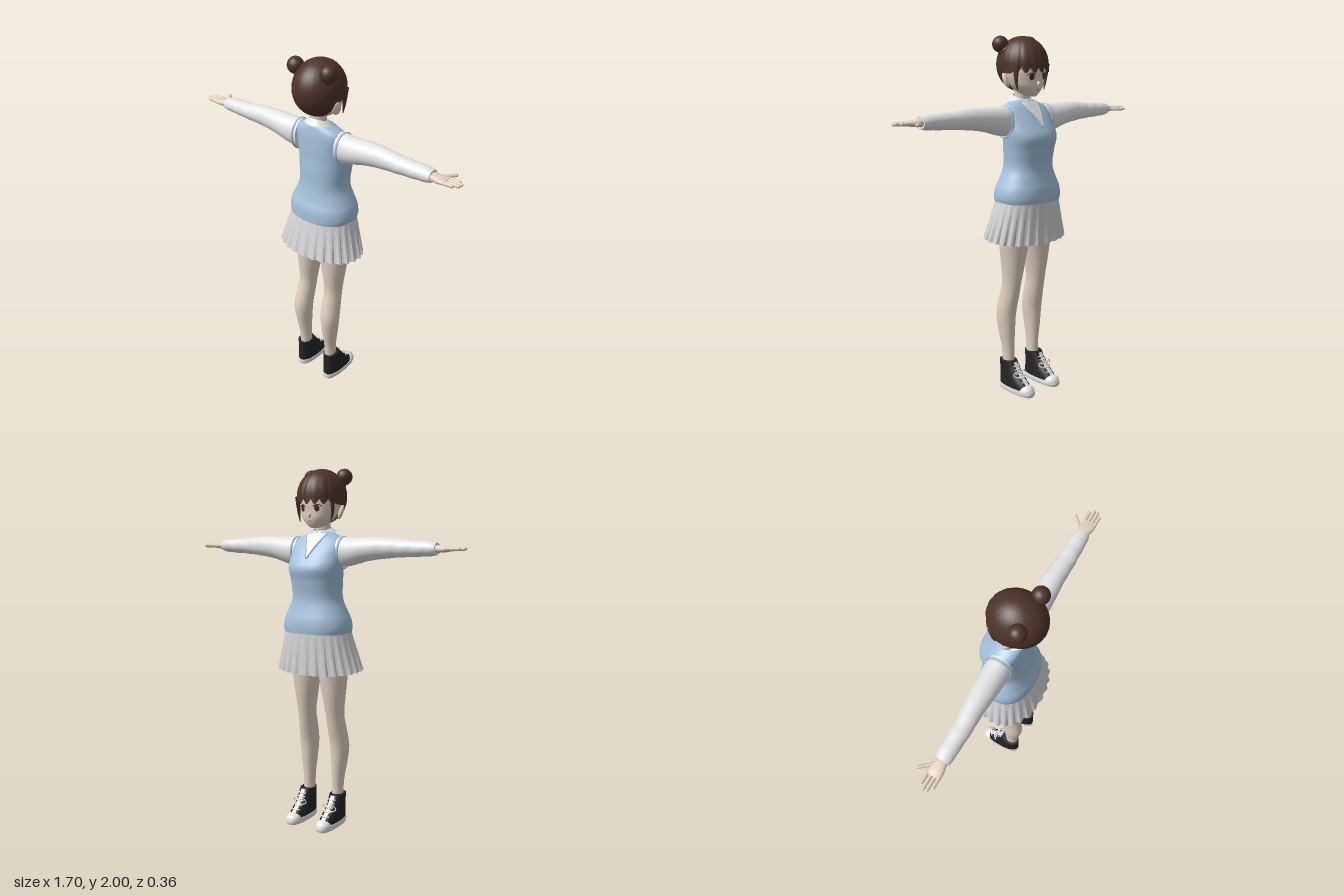
import * as THREE from 'three';

const mat = (name, color, side = THREE.FrontSide) => {
  const m = new THREE.MeshStandardMaterial({ color, side });
  m.name = name;
  return m;
};

// Grid surface from fn(u, v) -> [x, y, z]; u may wrap around
function surf(nu, nv, closed, fn) {
  const pos = [], idx = [], cols = closed ? nu : nu + 1;
  for (let j = 0; j <= nv; j++)
    for (let i = 0; i < cols; i++) pos.push(...fn(i / nu, j / nv, j));
  for (let j = 0; j < nv; j++)
    for (let i = 0; i < nu; i++) {
      const a = j * cols + i, b = j * cols + ((i + 1) % cols), d = a + cols, c = b + cols;
      idx.push(a, d, b, b, d, c);
    }
  const g = new THREE.BufferGeometry();
  g.setAttribute('position', new THREE.Float32BufferAttribute(pos, 3));
  g.setIndex(idx);
  g.computeVertexNormals();
  return g;
}

// Smoothly interpolated section rows: [y, half width, back z, front z, centre x]
function sections(rows) {
  const it = new THREE.CubicInterpolant(rows.map(r => r[0]),
    rows.flatMap(r => [r[1], r[2], r[3], r[4] || 0]), 4, new Float32Array(4));
  return y => Array.from(it.evaluate(y));
}

const spow = (v, e) => Math.sign(v) * Math.abs(v) ** e;

// Closed body through superellipse sections, with capped ends
function loft(rows, { p = 2, nu = 32, nv = 32, ripple = null } = {}) {
  const at = sections(rows), y0 = rows[0][0], y1 = rows[rows.length - 1][0];
  return surf(nu, nv + 4, true, (u, v, j) => {
    const t = Math.min(1, Math.max(0, (j - 2) / nv)), y = y0 + (y1 - y0) * t;
    const [rx, zb, zf, xc] = at(y), a = u * Math.PI * 2;
    const k = (j === 0 || j === nv + 4) ? 0 : 1 + (ripple ? ripple(y, a) : 0);
    return [xc + k * rx * spow(Math.cos(a), 2 / p), y,
      (zb + zf) / 2 + k * (zb - zf) / 2 * spow(Math.sin(a), 2 / p)];
  });
}

// Front depth of a loft at x, y
function frontZ(rows, p = 2) {
  const at = sections(rows);
  return (x, y) => {
    const [rx, zb, zf, xc] = at(y), q = Math.min(1, Math.abs((x - xc) / rx));
    return (zb + zf) / 2 - (zb - zf) / 2 * (1 - q ** p) ** (1 / p);
  };
}

// Thin detail laid on the front of a loft
const patch = (zAt, y0, y1, span, off) => surf(14, 14, false, (u, v) => {
  const y = y0 + (y1 - y0) * v, [xa, xb] = span(y), x = xa + (xb - xa) * u;
  return [x, y, zAt(x, y) - off];
});
const oval = (zAt, cx, cy, w, h, off) => patch(zAt, cy - h, cy + h, y => {
  const k = w * Math.sqrt(Math.max(0, 1 - ((y - cy) / h) ** 2));
  return [cx - k, cx + k];
}, off);

const tube = (pts, r, n = 24) => new THREE.TubeGeometry(
  new THREE.CatmullRomCurve3(pts.map(p => new THREE.Vector3(...p))), n, r, 8);

const TORSO = [[1.115, .192, .13, -.168], [1.14, .198, .13, -.17], [1.19, .19, .125, -.166],
  [1.23, .172, .11, -.155], [1.3, .142, .095, -.142], [1.4, .145, .09, -.153], [1.47, .154, .086, -.165],
  [1.54, .156, .085, -.125], [1.6, .154, .082, -.08], [1.63, .135, .077, -.055],
  [1.655, .08, .07, -.035], [1.668, .05, .06, -.02]];
const HEAD = [[1.683, .018, -.02, -.078], [1.7, .045, .03, -.09], [1.73, .079, .065, -.1],
  [1.77, .1, .095, -.102], [1.82, .11, .12, -.106], [1.9, .103, .125, -.1], [1.95, .06, .08, -.06]];
const LEG = [[.15, .032, .075, 0, .097], [.25, .033, .08, -.002, .098], [.35, .043, .098, -.008, .102],
  [.46, .052, .11, -.015, .103], [.56, .05, .09, -.035, .098], [.64, .049, .07, -.05, .095],
  [.75, .062, .075, -.07, .092], [.9, .084, .085, -.09, .088], [1.02, .086, .1, -.11, .09]];
const SHOE = [[.025, .047, .088, -.155], [.06, .046, .087, -.125], [.1, .043, .085, -.078],
  [.14, .041, .085, -.045], [.175, .041, .085, -.022]];
const SOLE = [[0, .046, .088, -.166], [.015, .05, .092, -.171], [.032, .049, .091, -.168]];
// Sleeve and palm run along y here and are laid sideways; centre x becomes height
const SLEEVE = [[.13, .082, .068, -.062, .024], [.2, .075, .07, -.064, .022], [.3, .063, .068, -.058, .007],
  [.4, .055, .062, -.046, 0], [.5, .046, .062, -.037, 0], [.6, .041, .058, -.034, 0],
  [.67, .036, .055, -.031, 0], [.692, .031, .051, -.026, 0]];
const PALM = [[.66, .02, .042, -.016], [.7, .019, .044, -.018], [.74, .016, .052, -.024], [.772, .011, .052, -.024]];

export function createModel() {
  const root = new THREE.Group();
  root.name = 'schoolgirl';
  const D = THREE.DoubleSide;
  const skin = mat('skin', 0xe3d1c2), hairMat = mat('hair brown', 0x4d3329, D), blue = mat('vest blue', 0xa5c1dc),
    shirt = mat('shirt white', 0xe4e4e7, D), skirtMat = mat('skirt grey', 0xd3d2d5, D), black = mat('shoe black', 0x242426),
    white = mat('rubber white', 0xe9e7e6), iris = mat('eye brown', 0x4a2a20), lip = mat('lip pink', 0xc98f86);
  const add = (name, geo, m, parent = root) => {
    const mesh = new THREE.Mesh(geo, m);
    mesh.name = name;
    parent.add(mesh);
    return mesh;
  };

  // Torso clothing
  add('vest', loft(TORSO, { p: 2.3, nu: 48, nv: 48 }), blue);
  const chest = frontZ(TORSO, 2.3), vee = y => (y - 1.525) * .5;
  add('shirtFront', patch(chest, 1.525, 1.655, y => [-vee(y), vee(y)], .004), shirt);
  const neckline = [-1, -.66, -.33, 0, .33, .66, 1].map(k => {
    const y = 1.522 + .13 * Math.abs(k), x = Math.sign(k) * vee(y);
    return [x, y, chest(x, y) - .002];
  });
  add('necklineTrim', tube(neckline, .005, 40), blue);
  add('shorts', loft([[.96, .165, .1, -.11], [1.03, .175, .11, -.14], [1.125, .175, .11, -.15]]), shirt);

  // Pleated skirt with flat folds
  const pleats = 26, fold = [0, .05, .055, .01];
  const skirt = surf(pleats * 4, 4, true, (u, v) => {
    const a = u * Math.PI * 2, d = 1 - v, k = Math.round(u * pleats * 4) % 4;
    const s = Math.sin(a), r = 1 - .02 * d + d * fold[k] * 1.1;
    const back = .125 + .05 * d, front = -.163 - .008 * d;
    return [(.19 + .058 * d) * r * spow(Math.cos(a), .92), 1.13 - d * (.226 - .014 * s),
      (back + front) / 2 + (back - front) / 2 * spow(s, .92) * r];
  }).toNonIndexed();
  skirt.computeVertexNormals();
  add('pleatedSkirt', skirt, skirtMat);

  // Neck and collar
  add('neck', loft([[1.6, .045, .07, -.02], [1.66, .041, .068, -.015], [1.73, .042, .07, -.02]], { nv: 8 }), skin);
  add('collar', surf(40, 6, false, (u, v) => {
    const a = .12 + u * (Math.PI * 2 - .24), f = (1 + Math.cos(a)) / 2;
    const r = THREE.MathUtils.lerp(.076 + .026 * f * f, .049, v);
    const y = THREE.MathUtils.lerp(1.668 - .062 * f * f, 1.695 - .03 * f, v);
    return [r * Math.sin(a), y, .022 - r * Math.cos(a)];
  }), shirt);

  // Head and face
  const head = new THREE.Group();
  head.name = 'head';
  root.add(head);
  add('face', loft(HEAD, { p: 2.2, nu: 40 }), skin, head);
  const face = frontZ(HEAD, 2.2);
  const nose = add('nose', new THREE.SphereGeometry(1, 12, 8), skin, head);
  nose.scale.set(.009, .014, .015);
  nose.position.set(0, 1.75, -.101);
  add('mouth', oval(face, 0, 1.718, .014, .0035, .003), lip, head);
  for (const s of [-1, 1]) {
    add('eyeWhite', oval(face, s * .045, 1.787, .021, .017, .002), white, head);
    add('iris', oval(face, s * .044, 1.787, .014, .018, .004), iris, head);
    add('eyelash', tube([-1, -.5, 0, .5, 1].map(k => {
      const x = s * .045 + k * .023, y = 1.806 - .01 * k * k;
      return [x, y, face(x, y) - .003];
    }), .0025, 12), hairMat, head);
    const ear = add('ear', new THREE.SphereGeometry(1, 16, 12), skin, head);
    ear.scale.set(.013, .04, .025);
    ear.position.set(s * .117, 1.768, .028);
    ear.rotation.set(.15, s * -.5, s * -.25);
  }

  // Hair cap with a jagged fringe
  const { lerp, smoothstep } = THREE.MathUtils;
  add('hairCap', surf(144, 24, true, (u, v) => {
    const a = u * Math.PI * 2, s = Math.sin(a), clump = Math.abs(Math.sin(a * 9));
    const fringe = smoothstep(-s, .3, .5);
    const yb = lerp(1.805, 1.712, smoothstep(s, .1, .45)) + fringe * (.03 - .028 * clump);
    const th = (1 - v) * Math.acos((yb - 1.85) / .148);
    const taper = th > Math.PI / 2 ? lerp(1, Math.sin(th), smoothstep(s, -.1, .4)) : Math.sin(th);
    const r = taper * (1 + (1 - v) * .025 * fringe * (clump - .6) + .005 * Math.cos(a * 24) * (1 - v));
    return [.132 * r * Math.cos(a), 1.85 + .148 * Math.cos(th), .02 + .15 * r * s];
  }), hairMat, head);
  for (const s of [-1, 1]) {
    add('sideLock', loft([[1.715, .002, -.046, -.05, s * .098], [1.76, .006, -.034, -.056, s * .108],
      [1.85, .009, -.03, -.075, s * .112]], { nu: 10, nv: 10 }), hairMat, head);
    const bun = add('hairBun', new THREE.SphereGeometry(.044, 24, 16), hairMat, head);
    bun.position.set(s * .106, 1.955, .078);
    const band = add('bunBase', new THREE.TorusGeometry(.03, .011, 8, 24), hairMat, head);
    band.position.set(s * .087, 1.93, .066);
    band.lookAt(s * .106, 1.955, .078);
  }

  // Limbs, built for the +x side and mirrored
  for (const s of [1, -1]) {
    const arm = new THREE.Group();
    arm.name = s > 0 ? 'leftArm' : 'rightArm';
    arm.position.y = 1.579;
    arm.scale.x = s;
    root.add(arm);
    const wrinkle = (y, a) => y > .66 ? 0 : .018 * Math.sin(y * 75 + 2 * Math.cos(a)) * smoothstep(y, .25, .55);
    add('sleeve', loft(SLEEVE, { nv: 56, ripple: wrinkle }).rotateZ(-Math.PI / 2), shirt, arm);
    add('palm', loft(PALM, { p: 2.4, nu: 20, nv: 10 }).rotateZ(-Math.PI / 2), skin, arm);
    [[-.016, .828], [.004, .849], [.024, .846], [.043, .823]].forEach(([z, end]) => {
      const len = end - .755;
      const finger = add('finger', new THREE.CapsuleGeometry(.0088, len - .0176, 4, 10), skin, arm);
      finger.rotation.z = -Math.PI / 2;
      finger.position.set(.755 + len / 2, .002, z);
    });
    add('thumb', tube([[.7, -.002, 0], [.73, -.003, -.028], [.75, -.002, -.05], [.768, 0, -.07]], .0095, 12), skin, arm);
    const tip = add('thumbTip', new THREE.SphereGeometry(.0095, 10, 8), skin, arm);
    tip.position.set(.768, 0, -.07);
    const trim = add('armholeTrim', new THREE.TorusGeometry(1, .07, 8, 40), blue, arm);
    trim.scale.set(.07, .083, .09);
    trim.rotation.y = Math.PI / 2;
    trim.position.set(.15, -.028, .002);

    const leg = new THREE.Group();
    leg.name = s > 0 ? 'leftLeg' : 'rightLeg';
    leg.scale.x = s;
    root.add(leg);
    add('legSkin', loft(LEG, { nv: 40 }), skin, leg);

    // High-top shoe
    const shoe = new THREE.Group();
    shoe.name = 'shoe';
    shoe.position.x = .102;
    leg.add(shoe);
    add('sole', loft(SOLE, { p: 2.6, nv: 8 }), white, shoe);
    add('shoeUpper', loft(SHOE, { p: 2.4, nv: 20 }), black, shoe);
    const cap = add('toeCap', new THREE.SphereGeometry(1, 24, 12, 0, Math.PI * 2, 0, Math.PI / 2), white, shoe);
    cap.scale.set(.044, .036, .046);
    cap.position.set(0, .025, -.121);
    const instep = frontZ(SHOE, 2.4);
    add('tongue', patch(instep, .06, .172, y => [-.013, .013], .003), white, shoe);
    for (const y of [.075, .095, .115, .135, .153])
      add('lace', tube([-.025, -.012, 0, .012, .025].map(x => [x, y, instep(x, y) - .004]), .004, 10), white, shoe);
    for (const k of [-1, 1])
      add('laceLoop', tube([[0, .12, -.068], [k * .03, .13, -.066], [k * .044, .108, -.06], [k * .022, .1, -.08],
        [0, .12, -.068]], .0035, 20), white, shoe);
  }
  return root;
}
